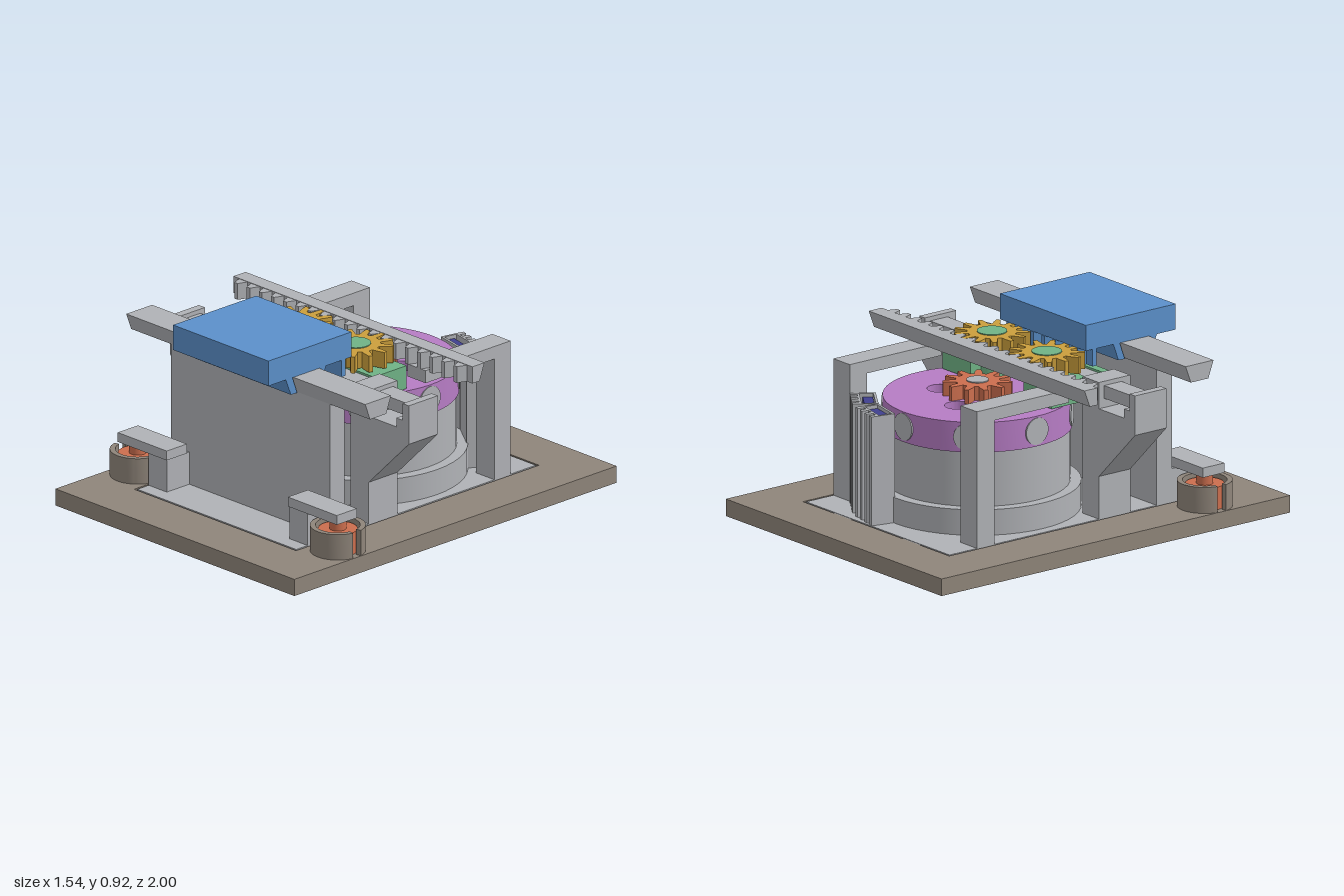
import * as THREE from 'three';
import { toCreasedNormals } from 'three/addons/utils/BufferGeometryUtils.js';

const mat = (name, color) => Object.assign(new THREE.MeshStandardMaterial({ color }), { name });

export function createModel() {
  const root = new THREE.Group();
  root.name = 'rackAndPinionMechanism';
  const grey = mat('grey', 0xb0b2b6), brown = mat('brown', 0x8f857a), blue = mat('blue', 0x5b90ca);
  const purple = mat('purple', 0xb67cc4), gold = mat('gold', 0xcb9f3c), red = mat('red', 0xcb6e4e);
  const green = mat('green', 0x70b386), navy = mat('navy', 0x40408f);

  const add = (name, geo, m, parent = root) => {
    const mesh = new THREE.Mesh(geo, m);
    mesh.name = name;
    parent.add(mesh);
    return mesh;
  };
  // box given by its limits
  const box = (name, m, x0, x1, y0, y1, z0, z1, parent) =>
    add(name, new THREE.BoxGeometry(x1 - x0, y1 - y0, z1 - z0)
      .translate((x0 + x1) / 2, (y0 + y1) / 2, (z0 + z1) / 2), m, parent);
  const cyl = (name, m, r, x, z, y0, y1, parent) =>
    add(name, new THREE.CylinderGeometry(r, r, y1 - y0, 48).translate(x, (y0 + y1) / 2, z), m, parent);
  const poly = pts => new THREE.Shape(pts.map(p => new THREE.Vector2(p[0], p[1])));
  const extrude = (shape, depth) =>
    new THREE.ExtrudeGeometry(shape, { depth, bevelEnabled: false, curveSegments: 32 });
  // shape in (x, z), raised from y0 to y1
  const exY = (shape, y0, y1) =>
    toCreasedNormals(extrude(shape, y1 - y0).rotateX(Math.PI / 2).translate(0, y1, 0), 0.5);
  // shape in (z, y), spread from -w to w along x
  const exX = (shape, w) => extrude(shape, 2 * w).rotateY(-Math.PI / 2).translate(w, 0, 0);
  const rect = (x0, x1, z0, z1) => poly([[x0, z0], [x1, z0], [x1, z1], [x0, z1]]);
  const hole = (shape, x, z, r) => shape.holes.push(new THREE.Path().absarc(x, z, r, 0, Math.PI * 2, true));

  const CZ = -0.175; // motor axis
  const bolts = (r, turn) => [0, 1, 2, 3].map(i => {
    const a = turn + i * Math.PI / 2;
    return [r * Math.cos(a), CZ + r * Math.sin(a)];
  });

  // Base frame and the inset plate with its screw holes
  const frame = rect(-0.77, 0.77, -1, 1);
  frame.holes.push(rect(-0.522, 0.522, -0.757, 0.75));
  add('baseFrame', exY(frame, 0, 0.08), brown);
  const plate = rect(-0.512, 0.512, -0.747, 0.74);
  plate.holes.push(rect(-0.17, 0.17, -0.56, -0.39));
  hole(plate, 0, CZ, 0.04);
  bolts(0.19, Math.PI / 4).forEach(([x, z]) => hole(plate, x, z, 0.035));
  add('insetPlate', exY(plate, 0.025, 0.08), grey);
  for (const s of [-1, 1])
    box('plateTab', grey, s * 0.245 - 0.06, s * 0.245 + 0.06, 0.03, 0.078, -0.757, -0.74);

  // Motor: stator, rotor and round side inserts
  cyl('statorFoot', grey, 0.465, 0, CZ, 0.08, 0.2);
  cyl('stator', grey, 0.415, 0, CZ, 0.2, 0.456);
  const rotor = new THREE.Shape().absarc(0, CZ, 0.425, 0, Math.PI * 2, false);
  const rotorBolts = bolts(0.188, -0.41);
  rotorBolts.forEach(([x, z]) => hole(rotor, x, z, 0.06));
  add('rotor', exY(rotor, 0.456, 0.597), purple);
  rotorBolts.forEach(([x, z]) => cyl('rotorBolt', grey, 0.036, x, z, 0.456, 0.53));
  for (let i = 0; i < 8; i++) {
    const g = new THREE.CylinderGeometry(0.063, 0.063, 0.03, 32).rotateZ(Math.PI / 2)
      .translate(0.413, 0.527, 0).rotateY(i * Math.PI / 4).translate(0, 0, CZ);
    add('rotorInsert', g, grey);
  }

  // Gears
  const gear = (name, m, n, rOut, rRoot, x, z, y0, y1, turn) => {
    const pts = [], step = Math.PI * 2 / n;
    for (let i = 0; i < n; i++)
      for (const [f, r] of [[-0.32, rRoot], [-0.24, rRoot + 0.025], [-0.11, rOut], [0.11, rOut], [0.24, rRoot + 0.025], [0.32, rRoot]]) {
        const a = turn + (i + f) * step;
        pts.push([x + r * Math.cos(a), z + r * Math.sin(a)]);
      }
    add(name, exY(poly(pts), y0, y1), m);
  };
  gear('pinion', red, 11, 0.157, 0.1, 0, CZ, 0.597, 0.663, -Math.PI / 2);
  cyl('pinionHub', grey, 0.05, 0, CZ, 0.55, 0.668);
  for (const s of [-1, 1]) {
    gear('driveGear', gold, 13, 0.172, 0.112, s * 0.195, 0.065, 0.72, 0.798, -Math.PI / 2);
    cyl('gearSpindle', green, 0.068, s * 0.195, 0.065, 0.6, 0.802);
    box('gearHolderSide', green, s * 0.29 - 0.1, s * 0.29 + 0.1, 0.6, 0.71, -0.063, 0.14);
  }
  box('gearHolderBridge', green, -0.19, 0.19, 0.668, 0.71, -0.04, 0.14);
  box('gearHolderFloor', green, -0.39, 0.39, 0.6, 0.64, 0.11, 0.28);
  box('gearHolderLip', green, -0.39, 0.39, 0.6, 0.71, 0.24, 0.28);

  // Toothed racks; teeth run along x and point from zRoot to zTip
  const teeth = (name, m, half, pitch, zRoot, zTip) => {
    const n = Math.floor(half / pitch);
    for (let i = -n; i <= n; i++) {
      const x = i * pitch, a = pitch * 0.36, b = pitch * 0.13;
      add(name, exY(poly([[x - a, zRoot], [x - b, zTip], [x + b, zTip], [x + a, zRoot]]), 0.72, 0.798), m);
    }
  };
  add('rackBar', exX(poly([[-0.18, 0.8], [-0.15, 0.72], [-0.105, 0.72], [-0.105, 0.8]]), 0.77), grey);
  teeth('rackTooth', grey, 0.75, 0.0785, -0.106, -0.06);

  // Supports mirrored left and right
  for (const s of [-1, 1]) {
    const side = new THREE.Group();
    side.name = s > 0 ? 'leftSupport' : 'rightSupport';
    root.add(side);
    const sbox = (name, m, a, b, ...rest) => box(name, m, Math.min(s * a, s * b), Math.max(s * a, s * b), ...rest, side);
    // rear post and arm under the rack
    sbox('rearPost', grey, 0.395, 0.512, 0.08, 0.72, -0.59, -0.49);
    sbox('rearArm', grey, 0.395, 0.512, 0.66, 0.72, -0.49, -0.063);
    // middle column with its flared wing
    const wing = poly([[0.395, 0.08], [0.512, 0.08], [0.512, 0.28], [0.77, 0.535], [0.77, 0.597], [0.395, 0.597]].map(([x, y]) => [s * x, y]));
    add('wingColumn', extrude(wing, 0.18).translate(0, 0, 0.11), grey, side);
    sbox('columnTop', grey, 0.395, 0.512, 0.597, 0.72, 0.11, 0.29);
    sbox('wingEnd', grey, 0.73, 0.77, 0.597, 0.72, 0.11, 0.29);
    sbox('wingLeg', grey, 0.69, 0.73, 0.597, 0.64, 0.11, 0.29);
    // front clamp
    sbox('clampPost', grey, 0.395, 0.512, 0.08, 0.235, 0.53, 0.67);
    sbox('clampBar', grey, 0.39, 0.706, 0.235, 0.28, 0.55, 0.675);
    // roller: slotted ring around a core and spindle
    const open = 0.2, base = s > 0 ? 0 : Math.PI;
    const ring = new THREE.Shape();
    ring.absarc(0.645 * s, 0.61, 0.125, base + open, base + Math.PI * 2 - open, false);
    ring.absarc(0.645 * s, 0.61, 0.1, base + Math.PI * 2 - open, base + open, true);
    add('rollerRing', exY(ring, 0.08, 0.202), brown, side);
    cyl('rollerCore', red, 0.088, 0.645 * s, 0.61, 0.08, 0.185, side);
    cyl('rollerSpindle', red, 0.038, 0.645 * s, 0.61, 0.185, 0.236, side);
  }
  box('crossBar', grey, -0.73, 0.73, 0.64, 0.7, 0.14, 0.24);

  // Front wall with dovetail rail
  box('frontWall', grey, -0.512, 0.512, 0.08, 0.72, 0.44, 0.53);
  add('dovetailRail', exX(poly([[0.43, 0.72], [0.53, 0.72], [0.56, 0.8], [0.4, 0.8]]), 0.77), grey);

  // Sliding carriage
  box('carriage', blue, -0.307, 0.307, 0.8, 0.92, 0.2, 0.715);
  add('carriageClaw', exX(poly([[0.537, 0.72], [0.575, 0.72], [0.607, 0.8], [0.566, 0.8]]), 0.307), blue);
  add('carriageClaw', exX(poly([[0.387, 0.72], [0.423, 0.72], [0.394, 0.8], [0.358, 0.8]]), 0.307), blue);
  box('carriageRack', blue, -0.307, 0.307, 0.72, 0.8, 0.238, 0.26);
  teeth('carriageTooth', blue, 0.29, 0.0785, 0.239, 0.2);

  // Ribbed connector housings behind the motor
  for (const angle of [0.225, 0.6]) {
    const c = new THREE.Group();
    c.name = 'connector';
    c.rotation.y = -angle;
    c.position.z = CZ;
    root.add(c);
    box('connectorBack', grey, -0.083, 0.083, 0.08, 0.59, -0.535, -0.525, c);
    for (const s of [-1, 1])
      box('connectorSide', grey, s * 0.077 - 0.006, s * 0.077 + 0.006, 0.08, 0.59, -0.56, -0.45, c);
    box('connectorInner', grey, -0.083, 0.083, 0.08, 0.59, -0.462, -0.45, c);
    box('connectorCore', navy, -0.066, 0.066, 0.12, 0.575, -0.51, -0.465, c);
    for (const x of [-0.07, -0.025, 0.025, 0.07])
      box('connectorRib', grey, x - 0.012, x + 0.012, 0.08, 0.59, -0.567, -0.53, c);
  }
  return root;
}
